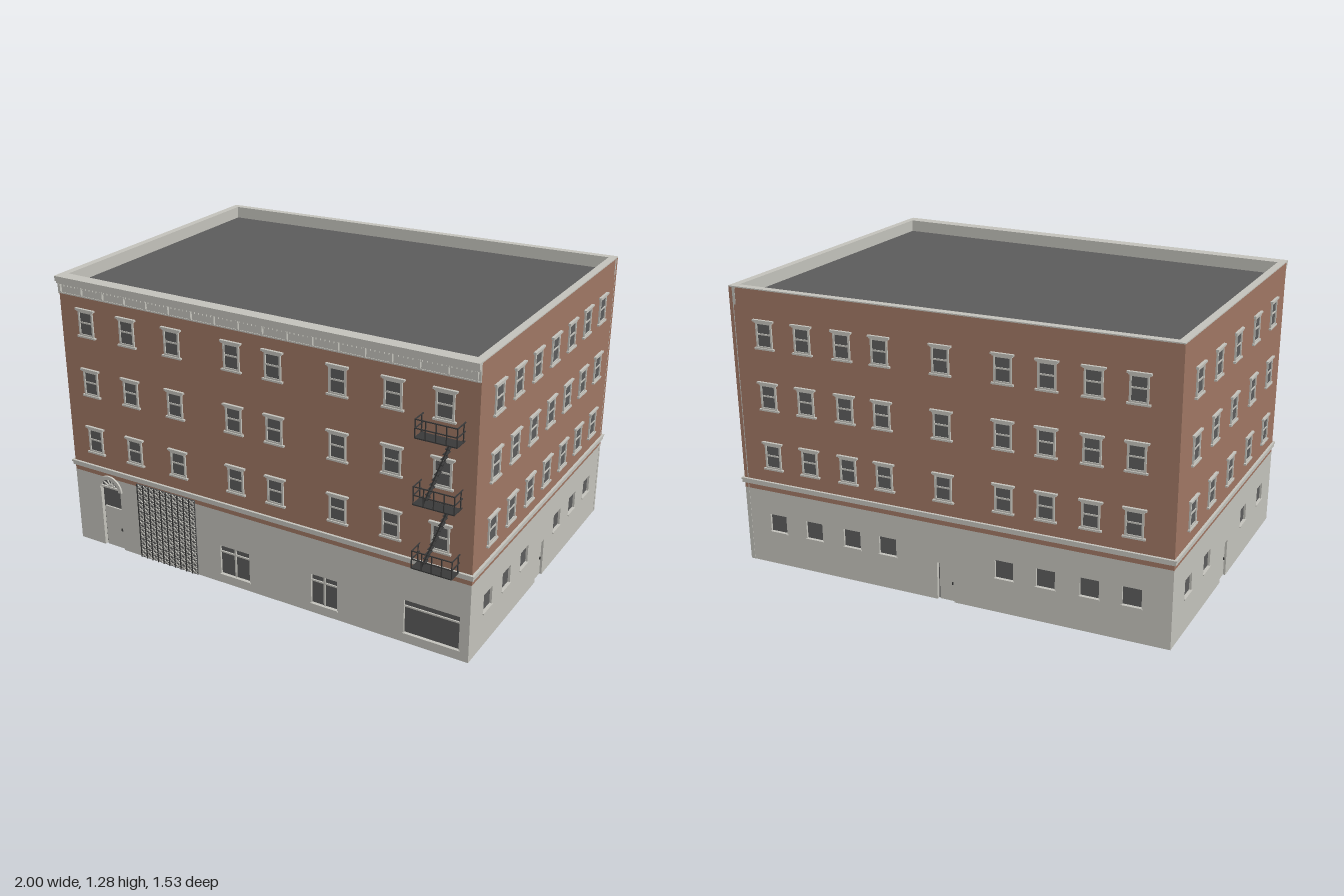
import * as THREE from 'three';
import { mergeGeometries } from 'three/addons/utils/BufferGeometryUtils.js';

const material = (name, color, side = THREE.FrontSide) => {
  const m = new THREE.MeshStandardMaterial({ color, side });
  m.name = name;
  return m;
};

// Box given by its minimum and maximum corners
const box = (x0, x1, y0, y1, z0, z1) =>
  new THREE.BoxGeometry(x1 - x0, y1 - y0, z1 - z0)
    .translate((x0 + x1) / 2, (y0 + y1) / 2, (z0 + z1) / 2);

const rectPath = (x0, x1, y0, y1) => {
  const p = new THREE.Path();
  p.moveTo(x0, y0).lineTo(x1, y0).lineTo(x1, y1).lineTo(x0, y1).closePath();
  return p;
};

export function createModel() {
  const brick = material('brick', 0xa07764);
  const plaster = material('plaster', 0xc4c3bc);
  const dark = material('darkGrey', 0x5c5c5c);
  const iron = material('iron', 0x3a3a3a);

  const model = new THREE.Group();
  model.name = 'building';
  const add = (parent, name, parts, mat) => {
    const mesh = new THREE.Mesh(Array.isArray(parts) ? mergeGeometries(parts) : parts, mat);
    mesh.name = name;
    parent.add(mesh);
    return mesh;
  };

  // Shared sash window, origin at the middle of the sill
  const glassGeo = box(-0.034, 0.034, 0.004, 0.116, -0.001, 0.002);
  const frameGeo = mergeGeometries([
    box(-0.039, -0.031, 0, 0.118, 0, 0.007),
    box(0.031, 0.039, 0, 0.118, 0, 0.007),
    box(-0.031, 0.031, 0.004, 0.011, 0, 0.006),
    box(-0.031, 0.031, 0.06, 0.067, 0, 0.005),
    box(-0.031, 0.031, 0.108, 0.118, 0, 0.006),
    box(-0.048, 0.048, -0.004, 0.004, 0, 0.011),
    box(-0.044, 0.044, 0.114, 0.119, 0, 0.009),
    box(-0.05, 0.05, 0.119, 0.127, 0, 0.012),
  ]);

  const PLINTH = 0.355, TOP = 1.28, DEPTH = 0.02;

  // One wall: local x runs along it, y up, z outward. Positions are measured from its start.
  function buildWall(name, a, b, columns, low, doors, extraHoles = []) {
    const wall = new THREE.Group();
    wall.name = name;
    const dx = b[0] - a[0], dz = b[1] - a[1], len = Math.hypot(dx, dz);
    wall.position.set(a[0], 0, a[1]);
    wall.rotation.y = Math.atan2(-dz, dx);
    model.add(wall);

    // Ground floor outline with door notches along its foot
    const shape = new THREE.Shape();
    shape.moveTo(0, 0);
    for (const d of doors) {
      shape.lineTo(d.x0, 0).lineTo(d.x0, d.h);
      if (d.arch) shape.absarc((d.x0 + d.x1) / 2, d.h, (d.x1 - d.x0) / 2, Math.PI, 0, true);
      shape.lineTo(d.x1, d.h).lineTo(d.x1, 0);
    }
    shape.lineTo(len, 0).lineTo(len, PLINTH).lineTo(0, PLINTH).closePath();
    const panes = [...low.map(u => [u - 0.041, u + 0.041, 0.16, 0.243]), ...extraHoles];
    panes.forEach(p => shape.holes.push(rectPath(...p)));
    add(wall, 'groundFloorWall', new THREE.ExtrudeGeometry(shape, { depth: DEPTH, bevelEnabled: false, curveSegments: 10 })
      .translate(0, 0, -DEPTH), plaster);

    // Upper wall, lining, parapet and string course
    add(wall, 'brickWall', box(0, len, PLINTH, TOP - 0.005, -0.006, 0), brick);
    add(wall, 'liningAndParapet', [
      box(0.001, len - 0.001, PLINTH, 1.2, -DEPTH, -0.006),
      box(0.001, len - 0.001, 1.2, TOP - 0.005, -0.03, -0.006),
      box(0, len, TOP - 0.005, TOP, -0.032, 0.001),
    ], plaster);
    add(wall, 'stringCourse', [
      box(-0.008, len + 0.008, 0.38, 0.395, 0, 0.008),
      box(-0.011, len + 0.011, 0.395, 0.403, 0, 0.011),
    ], plaster);

    // Sash windows on three floors
    for (const y of [0.467, 0.744, 1.021]) for (const u of columns) {
      add(wall, 'windowGlass', glassGeo, dark).position.set(u, y, 0);
      add(wall, 'windowFrame', frameGeo, plaster).position.set(u, y, 0);
    }

    // Recessed ground floor panes with sills
    for (const [x0, x1, y0, y1] of panes) {
      add(wall, 'groundWindowGlass', box(x0 - 0.002, x1 + 0.002, y0 - 0.002, y1 + 0.002, -0.019, -0.01), dark);
      add(wall, 'groundWindowSill', box(x0 - 0.004, x1 + 0.004, y0 - 0.006, y0, -0.01, 0.005), plaster);
    }

    // Plain recessed doors with a dark reverse side
    for (const d of doors) {
      const h = d.panel ?? d.h;
      add(wall, 'doorPanel', box(d.x0 + 0.008, d.x1, 0, h, -0.018, -0.01), plaster);
      add(wall, 'doorBack', box(d.x0 - 0.002, d.x1 + 0.002, 0, d.h, -0.026, -0.018), dark);
      add(wall, 'doorHandle', box(d.x1 - 0.014, d.x1 - 0.009, h * 0.45, h * 0.52, -0.01, -0.005), iron);
    }
    return wall;
  }

  const X = 0.988, ZF = 0.698, ZR = -0.755, ZL = -0.632;
  const corners = [[-X, ZF], [X, ZF], [X, ZR], [-X, ZL]];

  // Front wall with shop windows and the arched entrance
  const fx = x => x + X;
  const shops = [[-0.195, -0.045, 0.045, 0.185], [0.265, 0.39, 0.045, 0.185], [0.7, 0.945, 0.045, 0.2]]
    .map(([p, q, y0, y1]) => [fx(p), fx(q), y0, y1]);
  const entry = { x0: fx(-0.85), x1: fx(-0.738), h: 0.297, arch: true, panel: 0.2 };
  const front = buildWall('frontWall', corners[0], corners[1],
    [-0.85, -0.63, -0.395, -0.097, 0.1, 0.395, 0.635, 0.85].map(fx), [], [entry], shops);

  shops.forEach(([x0, x1, y0, y1], i) => {
    const bars = [box(x0, x1, y1 - 0.034, y1 - 0.027, -0.011, -0.004)];
    if (i < 2) bars.push(box((x0 + x1) / 2 - 0.004, (x0 + x1) / 2 + 0.004, y0, y1, -0.011, -0.004));
    add(front, 'shopWindowBars', bars, plaster);
  });

  // Fanlight over the entrance
  const cx = (entry.x0 + entry.x1) / 2, r = (entry.x1 - entry.x0) / 2;
  const arc = (inner, outer, z0, depth) => {
    const s = new THREE.Shape();
    s.absarc(0, 0, outer, 0, Math.PI, false);
    if (inner) s.absarc(0, 0, inner, Math.PI, 0, true);
    s.closePath();
    return new THREE.ExtrudeGeometry(s, { depth, bevelEnabled: false, curveSegments: 12 })
      .toNonIndexed().translate(cx, entry.h, z0);
  };
  add(front, 'fanlightGlass', arc(0, r + 0.001, -0.02, 0.006), dark);
  add(front, 'entranceArch', [arc(r - 0.004, r + 0.013, 0, 0.009), arc(0.014, 0.021, -0.014, 0.007)], plaster);
  const spokes = [box(entry.x0, entry.x1, 0.297, 0.305, -0.014, -0.005)];
  for (let i = 1; i < 6; i++) spokes.push(box(0.014, r, -0.002, 0.002, -0.014, -0.008)
    .rotateZ(i * Math.PI / 6).translate(cx, entry.h, 0));
  add(front, 'fanlightBars', spokes, plaster);

  // Folding lattice gate
  const g0 = fx(-0.635), g1 = fx(-0.32), gTop = 0.37, cols = 10, rows = 16;
  add(front, 'gatePanel', box(g0, g1, 0, gTop, -0.002, 0.003), dark);
  add(front, 'gateBack', box(g0, g1, 0, gTop, -0.026, -0.0205), dark);
  const lattice = [], posts = [], cw = (g1 - g0) / cols, rh = gTop / rows;
  for (let c = 0; c < cols; c++) {
    posts.push(box(g0 + c * cw, g0 + c * cw + 0.005, 0, gTop, 0.003, 0.008));
    for (let k = 0; k < rows; k++) for (const s of [-1, 1])
      lattice.push(box(-0.014, 0.014, -0.0025, 0.0025, 0.003, 0.006)
        .rotateZ(s * Math.atan2(rh, cw)).translate(g0 + (c + 0.5) * cw, (k + 0.5) * rh, 0));
  }
  add(front, 'gateLattice', lattice, plaster);
  add(front, 'gatePosts', posts, iron);

  // Front cornice with dentils and brackets
  const L = 2 * X;
  const cornice = [
    box(0, L, 1.2, 1.245, 0, 0.006),
    box(0, L, 1.2, 1.206, 0, 0.009),
    box(0, L, 1.245, 1.256, 0, 0.016),
    box(0, L, 1.256, 1.27, 0, 0.022),
    box(0, L, 1.27, TOP, 0, 0.025),
  ];
  for (let i = 0; i < 18; i++) {
    const x = 0.015 + i * (L - 0.03) / 17;
    cornice.push(box(x - 0.006, x + 0.006, 1.212, 1.245, 0, 0.017), box(x - 0.005, x + 0.005, 1.204, 1.212, 0, 0.012));
  }
  for (let x = 0.01; x < L - 0.01; x += 0.0196) cornice.push(box(x, x + 0.009, 1.235, 1.245, 0, 0.012));
  add(front, 'cornice', cornice, plaster);

  // Side and rear walls
  const sideDoor = (u, w = 0.04) => ({ x0: u - w, x1: u + w, h: 0.175 });
  const right = [0.53, 0.345, 0.157, -0.03, -0.217, -0.403, -0.59].map(z => ZF - z);
  buildWall('leftSideWall', corners[1], corners[2], right, right.filter((_, i) => i !== 3), [sideDoor(right[3])]);
  const rear = [0.825, 0.64, 0.45, 0.275, 0, -0.27, -0.455, -0.645, -0.825].map(x => X - x);
  buildWall('rearWall', corners[2], corners[3], rear, rear.filter((_, i) => i !== 4), [sideDoor(rear[4])]);
  const left = [-0.45, -0.22, 0.02, 0.28, 0.53].map(z => z - ZL);
  buildWall('rightSideWall', corners[3], corners[0], left, left.filter((_, i) => i !== 2), [sideDoor(left[2])]);

  // Flat roof behind the parapet
  const e = 0.01;
  const roofShape = new THREE.Shape([[-X + e, -ZF + e], [X - e, -ZF + e], [X - e, -ZR - e], [-X + e, -ZL - e]]
    .map(p => new THREE.Vector2(...p)));
  add(model, 'roof', new THREE.ExtrudeGeometry(roofShape, { depth: 0.01, bevelEnabled: false })
    .rotateX(-Math.PI / 2).translate(0, 1.215, 0), dark);

  // Fire escape: railed landings joined by two flights of stairs
  const escape = new THREE.Group();
  escape.name = 'fireEscape';
  model.add(escape);
  const x0 = 0.76, x1 = 0.935, z0 = ZF, z1 = 0.768, t = 0.004;
  const levels = [0.4, 0.677, 0.954];
  for (const y of levels) {
    const parts = [box(x0, x1, y, y + 0.005, z0 + 0.012, z1)];
    for (const h of [0.04, 0.076]) parts.push(
      box(x0, x1, y + h, y + h + t, z1 - t, z1),
      box(x0, x0 + t, y + h, y + h + t, z0, z1),
      box(x1 - t, x1, y + h, y + h + t, z0, z1));
    for (let i = 0; i < 5; i++) {
      const x = x0 + i * (x1 - x0 - t) / 4;
      parts.push(box(x, x + t, y, y + 0.08, z1 - t, z1));
    }
    for (const x of [x0, x1 - t]) parts.push(box(x, x + t, y, y + 0.08, z0 + 0.012, z0 + 0.016), box(x, x + t, y, y + 0.005, z0, z1));
    add(escape, 'landing', parts, iron);
  }
  for (let f = 0; f < 2; f++) {
    const yA = levels[f], yB = levels[f + 1], rise = yB - yA, run = 0.1, parts = [];
    for (const z of [z0 + 0.018, z0 + 0.05]) parts.push(
      box(-0.0025, 0.0025, 0, Math.hypot(rise, run), 0, 0.003)
        .rotateZ(-Math.atan2(run, rise)).translate(0.795, yA, z));
    for (let i = 1; i < 12; i++) {
      const x = 0.795 + run * i / 12, y = yA + rise * i / 12;
      parts.push(box(x - 0.008, x + 0.008, y, y + 0.003, z0 + 0.018, z0 + 0.053));
    }
    add(escape, 'stairs', parts, iron);
  }
  return model;
}
